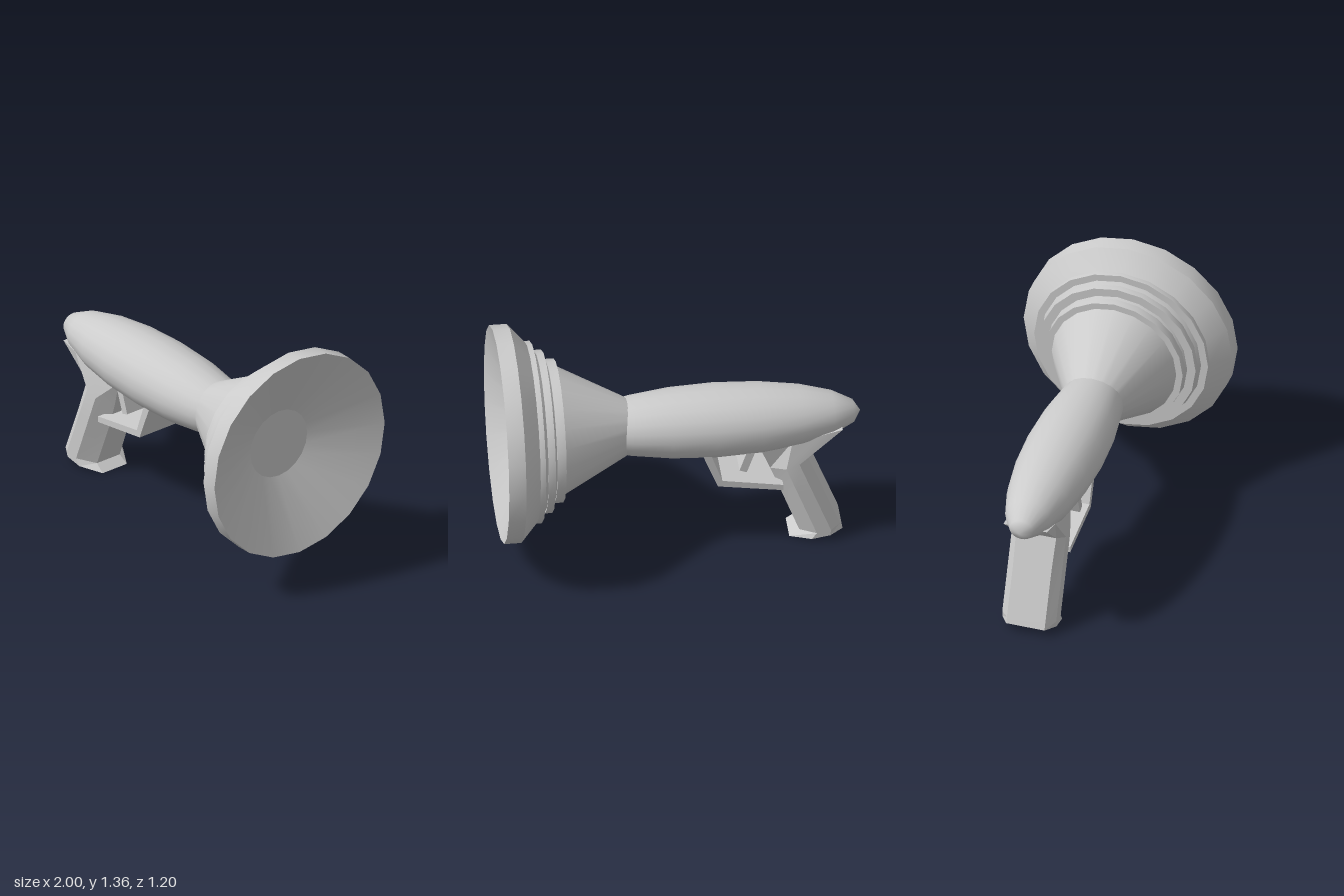
import * as THREE from 'three';
import { toCreasedNormals } from 'three/addons/utils/BufferGeometryUtils.js';

const AXIS_Y = 0.757;
const material = new THREE.MeshStandardMaterial({ color: 0xcccccc });

function part(name, geometry) {
  const mesh = new THREE.Mesh(geometry, material);
  mesh.name = name;
  return mesh;
}

// Side outline (x, y) extruded evenly about z = 0
function slab(outline, halfWidth) {
  const shape = new THREE.Shape(outline.map(([x, y]) => new THREE.Vector2(x, y)));
  const geo = new THREE.ExtrudeGeometry(shape, { depth: 2 * halfWidth, bevelEnabled: false });
  return geo.translate(0, 0, -halfWidth);
}

// Profile (x along the barrel, radius) turned about the barrel axis
function turned(profile) {
  const geo = new THREE.LatheGeometry(profile.map(([x, r]) => new THREE.Vector2(r, x)), 20);
  geo.rotateZ(-Math.PI / 2).translate(0, AXIS_Y, 0);
  return toCreasedNormals(geo, 0.4);
}

// Eight-sided loops stacked from bottom to top and closed at both ends
function loft(sections) {
  const pos = [], index = [], n = 8;
  for (const { back, front, w } of sections) {
    const half = [[0, w[0]], [0.25, w[1]], [0.6, w[1]], [1, w[2]]];
    const loop = [...half, ...half.map(([t, z]) => [t, -z]).reverse()];
    for (const [t, z] of loop) {
      pos.push(back[0] + (front[0] - back[0]) * t, back[1] + (front[1] - back[1]) * t, z);
    }
  }
  const top = (sections.length - 1) * n;
  for (let s = 0; s < top; s += n) {
    for (let i = 0; i < n; i++) {
      const j = (i + 1) % n;
      index.push(s + i, s + j, s + n + j, s + i, s + n + j, s + n + i);
    }
  }
  for (let i = 1; i < n - 1; i++) {
    index.push(0, i + 1, i, top, top + i, top + i + 1);
  }
  const geo = new THREE.BufferGeometry();
  geo.setAttribute('position', new THREE.Float32BufferAttribute(pos, 3));
  geo.setIndex(index);
  return toCreasedNormals(geo, 0.25);
}

export function createModel() {
  const model = new THREE.Group();
  model.name = 'rayBlaster';

  // Egg-shaped body, poles on the barrel axis
  const body = new THREE.SphereGeometry(1, 20, 10);
  body.rotateZ(Math.PI / 2).scale(0.8, 0.197, 0.222).translate(-0.2, AXIS_Y, 0);
  model.add(part('body', body));

  // Flared horn with stepped rings, rim and hollow dish
  model.add(part('horn', turned([
    [0.2, 0], [0.2, 0.113], [0.66, 0.358],
    [0.66, 0.395], [0.71, 0.395], [0.71, 0.385], [0.725, 0.4],
    [0.725, 0.448], [0.765, 0.448], [0.765, 0.44], [0.785, 0.46],
    [0.785, 0.5], [0.815, 0.5], [0.905, 0.6], [1, 0.6],
  ])));
  model.add(part('dish', turned([[1, 0.6], [0.82, 0.2]])));
  model.add(part('dishFloor', turned([[0.82, 0.2], [0.82, 0]])));

  // Pistol grip with a flared toe and a rear spur
  model.add(part('grip', loft([
    { back: [-0.89, 0.05], front: [-0.6, 0.002], w: [0.11, 0.155, 0.085] },
    { back: [-0.877, 0.085], front: [-0.655, 0.04], w: [0.11, 0.155, 0.08] },
    { back: [-0.77, 0.362], front: [-0.547, 0.33], w: [0.11, 0.155, 0.075] },
    { back: [-0.7, 0.545], front: [-0.495, 0.47], w: [0.115, 0.155, 0.085] },
    { back: [-0.89, 0.72], front: [-0.43, 0.64], w: [0.125, 0.135, 0.11] },
  ])));

  // Trigger and its guard
  model.add(part('trigger', slab(
    [[-0.41, 0.63], [-0.36, 0.49], [-0.32, 0.505], [-0.363, 0.63]], 0.14)));
  model.add(part('triggerGuard', slab([
    [-0.165, 0.62], [-0.225, 0.45], [-0.56, 0.395], [-0.56, 0.36],
    [-0.2, 0.415], [-0.12, 0.62],
  ], 0.15)));

  return model;
}
